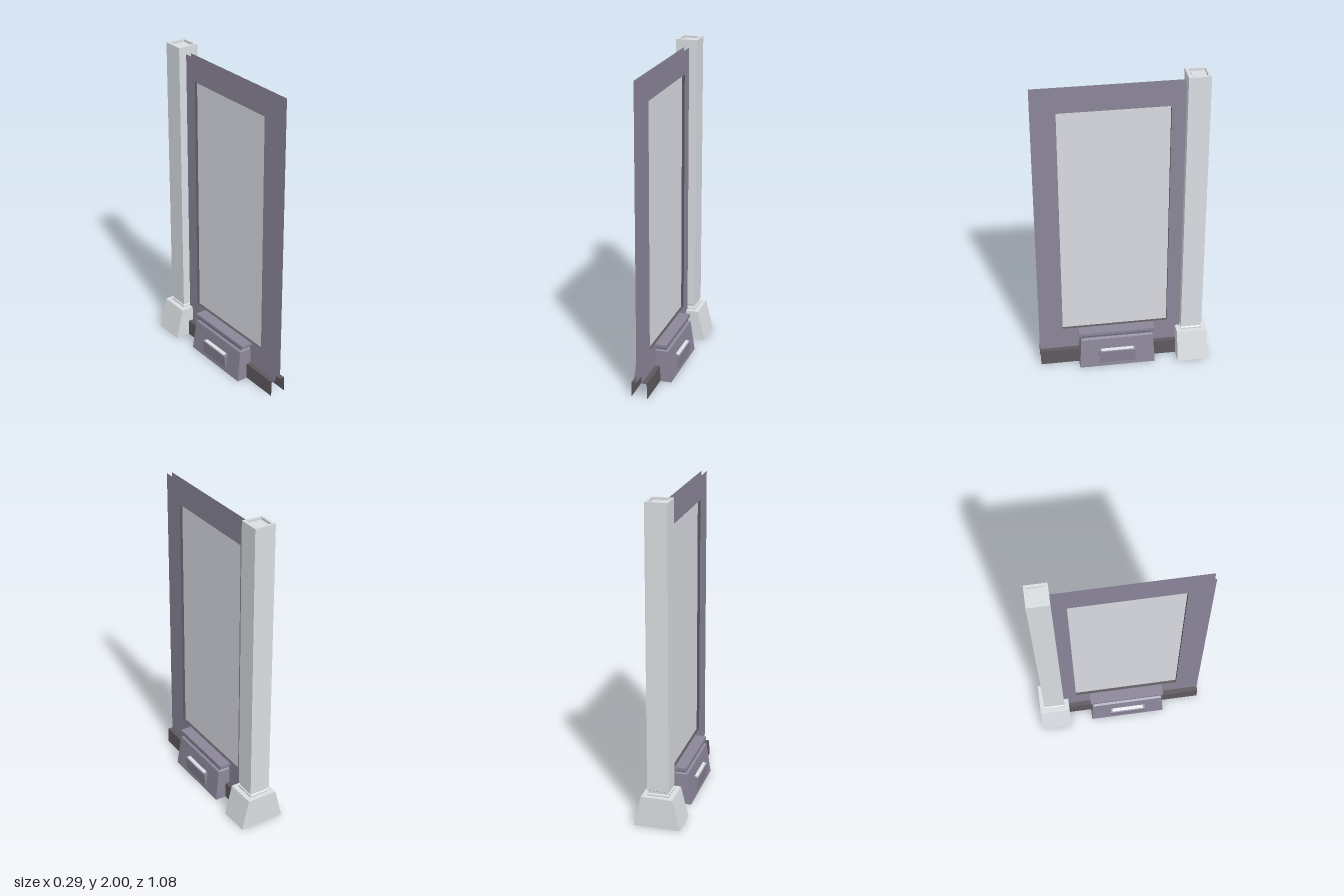
import * as THREE from 'three';

const mat = (name, color) => {
  const m = new THREE.MeshStandardMaterial({ color, side: THREE.DoubleSide });
  m.name = name;
  return m;
};

// Flat-faced geometry from quads, corners anticlockwise seen from the front
function quadGeometry(quads) {
  const p = [];
  for (const [a, b, c, d] of quads) p.push(...a, ...b, ...c, ...a, ...c, ...d);
  const g = new THREE.BufferGeometry();
  g.setAttribute('position', new THREE.Float32BufferAttribute(p, 3));
  g.computeVertexNormals();
  return g;
}

// Quads for the left side (s = 1) or their mirror image (s = -1)
const sideGeometry = (s, quads) => quadGeometry(quads.map((q) => {
  const r = q.map(([x, y, z]) => [s * x, y, z]);
  return s > 0 ? r : r.reverse();
}));

// Stack of rectangular rings [halfWidth, zBack, zFront, y], open below, closed on top
function stack(rings) {
  const corners = ([w, b, f, y]) => [[-w, y, f], [w, y, f], [w, y, b], [-w, y, b]];
  const quads = [];
  for (let i = 0; i < rings.length - 1; i++) {
    const lo = corners(rings[i]), hi = corners(rings[i + 1]);
    for (let k = 0; k < 4; k++) {
      const n = (k + 1) % 4;
      quads.push([lo[k], lo[n], hi[n], hi[k]]);
    }
  }
  quads.push(corners(rings[rings.length - 1]));
  return quadGeometry(quads);
}

export function createModel() {
  const group = new THREE.Group();
  const stone = mat('pale stone', 0xdadee2);
  const glass = mat('pale glass', 0xdadce3);
  const purple = mat('grey purple', 0x8b8699);
  const dark = mat('dark trim', 0x5d595d);
  const add = (name, geometry, material) => {
    const m = new THREE.Mesh(geometry, material);
    m.name = name;
    group.add(m);
  };

  const T = 0.017;                                      // half wall thickness
  const zB = -0.375, zF = 0.538;                        // wall ends
  const oB = -0.288, oF = 0.388, oL = 0.248, oH = 1.803; // window opening

  // Wall sheets with the window cut out (shape x runs along -z)
  const points = (list) => list.map(([x, y]) => new THREE.Vector2(x, y));
  const wall = new THREE.Shape(points([[-zF, 0.1], [-zB, 0.1], [-zB, 1.952], [-zF, 1.952]]));
  wall.holes.push(new THREE.Path(points([[-oF, oL], [-oF, oH], [-oB, oH], [-oB, oL]])));
  for (const s of [1, -1]) {
    add(s > 0 ? 'leftWall' : 'rightWall',
      new THREE.ShapeGeometry(wall).rotateY(Math.PI / 2).translate(s * T, 0, 0), purple);
  }

  // Window reveal, facing into the opening
  add('windowReveal', quadGeometry([
    [[-T, oL, oF], [T, oL, oF], [T, oL, oB], [-T, oL, oB]],
    [[-T, oH, oB], [T, oH, oB], [T, oH, oF], [-T, oH, oF]],
    [[-T, oL, oB], [T, oL, oB], [T, oH, oB], [-T, oH, oB]],
    [[T, oL, oF], [-T, oL, oF], [-T, oH, oF], [T, oH, oF]],
  ]), dark);
  add('windowPane', new THREE.PlaneGeometry(oF - oB, oH - oL)
    .rotateY(Math.PI / 2).translate(0, (oH + oL) / 2, (oF + oB) / 2), glass);

  // Pillar foot, then neck and column with a sunken top
  add('pillarFoot', stack([[0.146, -0.538, -0.344, 0], [0.098, -0.538, -0.344, 0.197]]), stone);
  const c = -0.441;
  const sq = (h, y) => [h, c - h, c + h, y];
  add('pillarColumn', stack([
    sq(0.067, 0.197), sq(0.067, 0.207), sq(0.06, 0.212), sq(0.06, 0.225), sq(0.067, 0.23),
    sq(0.067, 2), sq(0.05, 2), sq(0.05, 1.985), sq(0.039, 1.985), sq(0.039, 1.99),
  ]), stone);

  // Plinth under the window: tapered body, narrow neck, overhanging cap
  add('plinth', stack([
    [0.122, -0.197, 0.291, 0], [0.097, -0.186, 0.28, 0.2], [0.082, -0.178, 0.272, 0.207],
    [0.084, -0.18, 0.274, 0.216], [0.09, -0.197, 0.291, 0.227], [0.09, -0.197, 0.291, 0.246],
  ]), purple);

  for (const s of [1, -1]) {
    const side = s > 0 ? 'left' : 'right';

    // Skirting: outer sheet and ledge
    add(side + 'Skirting', sideGeometry(s, [
      [[0.051, 0, zF], [0.051, 0, zB], [0.048, 0.1, zB], [0.048, 0.1, zF]],
      [[T, 0.1, zF], [0.048, 0.1, zF], [0.048, 0.1, zB], [T, 0.1, zB]],
    ]), dark);

    // Wedge pocket on the plinth side, with a pale inset on top
    const z0 = -0.068, z1 = 0.163, e = 0.012;
    const A = (z) => [0.104, 0.127, z], B = (z) => [0.133, 0.12, z];
    const C = (z) => [0.123, 0.028, z], D = (z) => [0.115, 0.028, z];
    add(side + 'Pocket', sideGeometry(s, [
      [A(z1), B(z1), B(z0), A(z0)],
      [C(z1), C(z0), B(z0), B(z1)],
      [D(z1), D(z0), C(z0), C(z1)],
      [D(z1), C(z1), B(z1), A(z1)],
      [C(z0), D(z0), A(z0), B(z0)],
    ]), purple);
    add(side + 'PocketInset', sideGeometry(s, [
      [[0.105, 0.129, z1 - e], [0.127, 0.124, z1 - e], [0.127, 0.124, z0 + e], [0.105, 0.129, z0 + e]],
    ]), stone);
  }
  return group;
}
